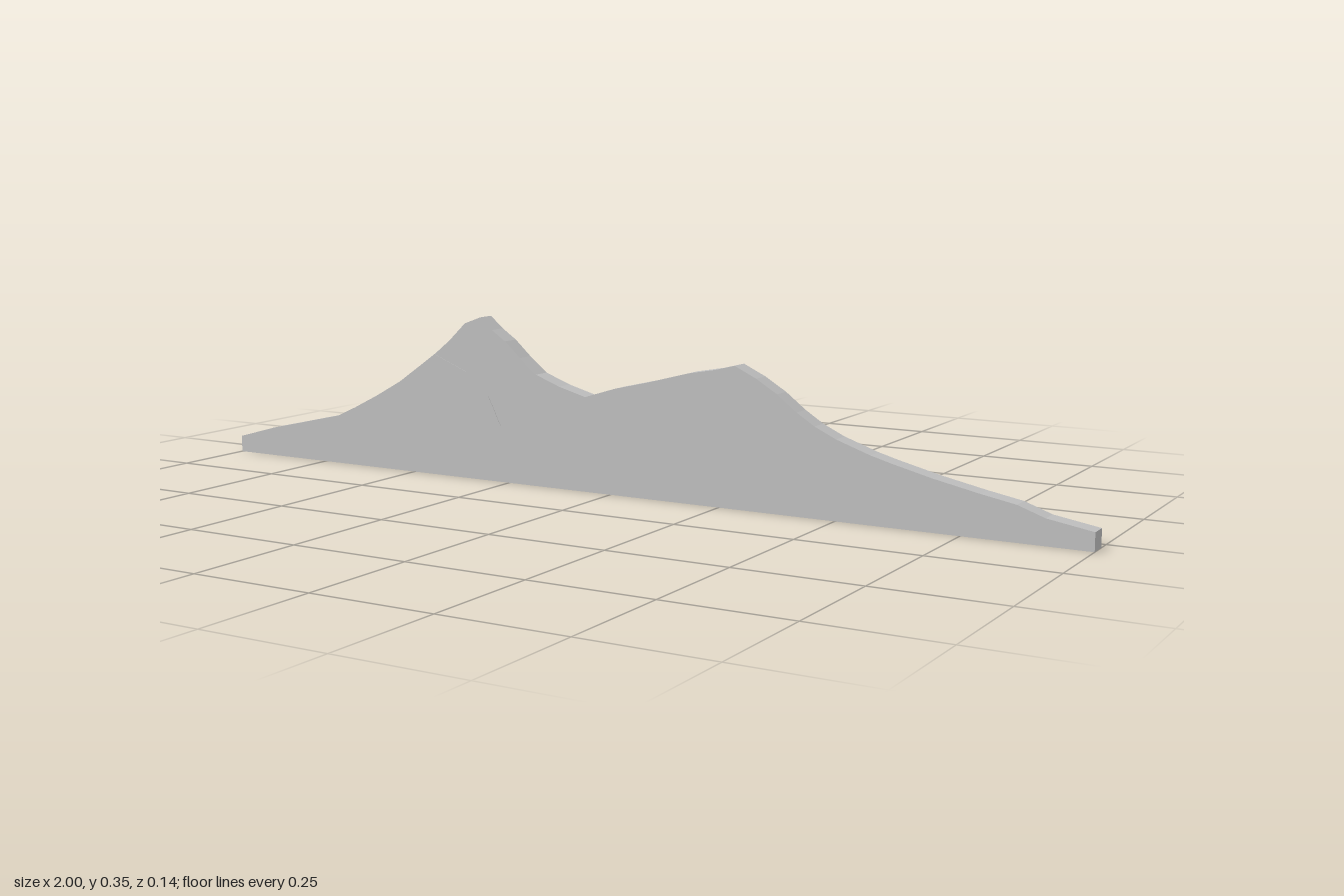
import * as THREE from 'three';

const grey = new THREE.MeshStandardMaterial({ color: 0xc0c0c0 });
grey.name = 'plain grey';

// Flat outline of [x, y] points pushed out along z
function slab(name, points, depth, z) {
  const shape = new THREE.Shape(points.map(([x, y]) => new THREE.Vector2(x, y)));
  const geo = new THREE.ExtrudeGeometry(shape, { depth, bevelEnabled: false });
  geo.translate(0, 0, z);
  const mesh = new THREE.Mesh(geo, grey);
  mesh.name = name;
  return mesh;
}

function box(name, w, h, d, x, y, z) {
  const mesh = new THREE.Mesh(new THREE.BoxGeometry(w, h, d), grey);
  mesh.position.set(x, y, z);
  mesh.name = name;
  return mesh;
}

// Triangular prop with a wall cleat and a two-tier weight on its foot
function brace(x, height, reach, cleatY, weightZ) {
  const group = new THREE.Group();
  group.name = 'brace';
  const prop = slab('prop', [[0, 0], [reach, 0], [0, height]], 0.008, -0.004);
  prop.rotation.y = Math.PI / 2; // its run now points to -z
  prop.position.set(x, 0, 0.03);
  group.add(
    prop,
    box('cleat', 0.036, 0.026, 0.002, x, cleatY, 0.029),
    box('lowerWeight', 0.064, 0.018, 0.039, x, 0.009, weightZ),
    box('upperWeight', 0.05, 0.007, 0.027, x, 0.0215, weightZ),
  );
  return group;
}

export function createModel() {
  const model = new THREE.Group();
  model.name = 'mountainBackdrop';

  // Skyline from left end to right end as seen from the front
  const ridge = [
    [-1, 0.036], [-0.9, 0.064], [-0.82, 0.082], [-0.79, 0.089], [-0.71, 0.107], [-0.66, 0.13],
    [-0.6, 0.16], [-0.535, 0.196], [-0.48, 0.234], [-0.44, 0.262], [-0.4, 0.294],
    [-0.36, 0.332], [-0.32, 0.347], [-0.29, 0.322], [-0.257, 0.3], [-0.22, 0.267],
    [-0.18, 0.235], [-0.123, 0.214], [-0.06, 0.197], [0.01, 0.219], [0.09, 0.238],
    [0.18, 0.262], [0.24, 0.273], [0.283, 0.284], [0.33, 0.262], [0.375, 0.235],
    [0.417, 0.203], [0.455, 0.179], [0.5, 0.158], [0.57, 0.134], [0.61, 0.123],
    [0.695, 0.102], [0.786, 0.083], [0.856, 0.07], [0.91, 0.051], [1, 0.036],
  ];
  model.add(slab('mountainPanel', [[-1, 0], ...ridge, [1, 0]], 0.04, 0.03));

  // Thin raised slope on the front of the taller peak
  const slope = ridge.filter(([x]) => x > -0.7 && x < -0.43);
  model.add(slab('slopeRelief', [
    [-0.56, 0.08], ...slope, [-0.36, 0.23], [-0.3, 0.18], [-0.27, 0.12],
  ], 0.001, 0.07));

  // Rear supports
  model.add(
    brace(-0.6, 0.11, 0.08, 0.075, -0.035),
    brace(0.04, 0.155, 0.098, 0.097, -0.045),
    brace(0.64, 0.08, 0.065, 0.057, -0.02),
  );
  return model;
}
